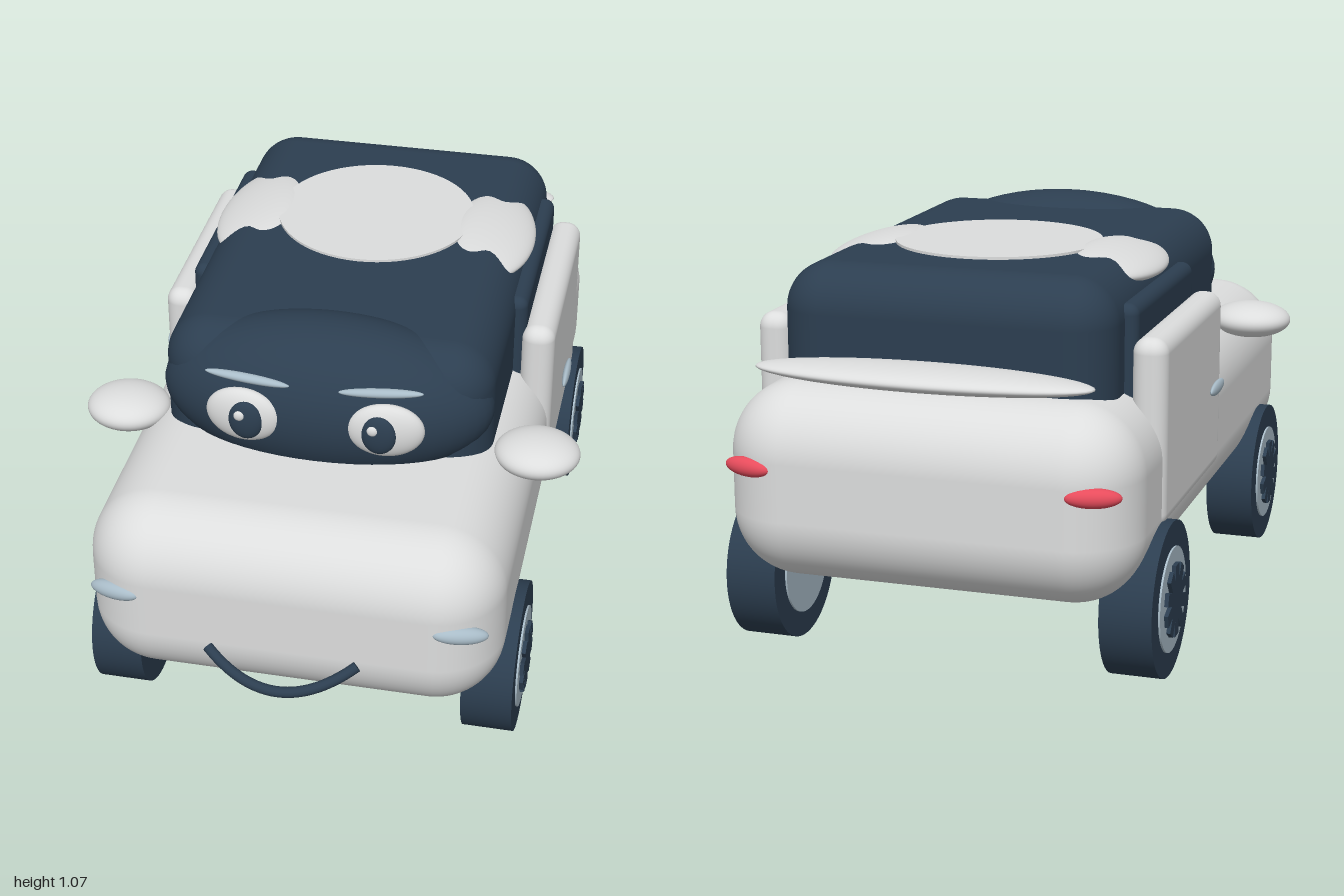
import * as THREE from 'three';
import { RoundedBoxGeometry } from 'three/addons/geometries/RoundedBoxGeometry.js';

export function createModel() {
  const car = new THREE.Group();
  car.name = 'cartoonCar';

  const material = (name, color) => {
    const m = new THREE.MeshStandardMaterial({ color });
    m.name = name;
    return m;
  };
  const paint = material('pale grey paint', 0xdcdddd);
  const navy = material('dark navy', 0x2c3e50);
  const chrome = material('blue grey chrome', 0xa9bcc8);
  const red = material('tail light red', 0xe74c5c);

  const add = (name, geometry, mat, pos = [0, 0, 0], rot = [0, 0, 0], parent = car) => {
    const mesh = new THREE.Mesh(geometry, mat);
    mesh.name = name;
    mesh.position.set(...pos);
    mesh.rotation.set(...rot);
    parent.add(mesh);
    return mesh;
  };
  // Rounded box given by its lower and upper corners
  const roundedBox = (name, mat, lo, hi, radius) => add(
    name,
    new RoundedBoxGeometry(hi[0] - lo[0], hi[1] - lo[1], hi[2] - lo[2], 8, radius),
    mat,
    lo.map((v, i) => (v + hi[i]) / 2),
  );
  const ellipsoid = (name, mat, pos, radii, rot) => add(
    name, new THREE.SphereGeometry(1, 48, 32).scale(...radii), mat, pos, rot);

  // Main shell, cabin and bulging windscreen
  roundedBox('body', paint, [-0.54, 0.235, -0.973], [0.54, 0.745, 0.903], 0.18);
  roundedBox('cabin', navy, [-0.437, 0.5, -0.797], [0.437, 1.03, 0.44], 0.12);
  ellipsoid('windscreen', navy, [0, 0.85, 0.35], [0.44, 0.215, 0.2]);

  // Roof disc and rear spoiler
  add('roofDisc', new THREE.CylinderGeometry(0.275, 0.275, 0.04, 64), paint, [0, 1.017, -0.295]);
  ellipsoid('spoiler', paint, [0, 0.8, -0.9], [0.437, 0.03, 0.103]);

  for (const s of [-1, 1]) {
    // Doors, side windows and handles
    const lowX = (a, b) => (s > 0 ? a : -b);
    const highX = (a, b) => (s > 0 ? b : -a);
    roundedBox('door', paint, [lowX(0.457, 0.548), 0.38, -0.66],
      [highX(0.457, 0.548), 0.873, -0.008], 0.04);
    roundedBox('sideWindow', navy, [lowX(0.408, 0.468), 0.5, -0.635],
      [highX(0.408, 0.468), 0.952, -0.03], 0.028);
    ellipsoid('doorHandle', chrome, [s * 0.573, 0.643, -0.18], [0.01, 0.018, 0.072]);

    // Roof flare, side mirror and lamps
    ellipsoid('roofFlare', paint, [s * 0.337, 1.0, -0.295], [0.115, 0.035, 0.235], [0, 0, -s * 0.2]);
    ellipsoid('sideMirror', paint, [s * 0.555, 0.72, 0.335], [0.113, 0.05, 0.104]);
    ellipsoid('headlight', chrome, [s * 0.445, 0.525, 0.876], [0.072, 0.024, 0.024], [0, s * 0.3, -s * 0.1]);
    ellipsoid('tailLight', red, [s * 0.447, 0.548, -0.948], [0.07, 0.025, 0.024], [0, -s * 0.3, 0]);

    // Face: eye, pupil, glint and brow
    ellipsoid('eye', paint, [s * 0.186, 0.868, 0.524], [0.1, 0.077, 0.034], [0, s * 0.1, 0]);
    ellipsoid('pupil', navy, [s * 0.173, 0.868, 0.552], [0.045, 0.055, 0.018]);
    ellipsoid('eyeGlint', paint, [s * 0.173 - 0.014, 0.888, 0.566], [0.014, 0.014, 0.008]);
    ellipsoid('brow', chrome, [s * 0.173, 0.979, 0.525], [0.11, 0.012, 0.014], [0, 0, s * 0.1]);
  }

  // Smiling mouth
  const smile = new THREE.QuadraticBezierCurve3(
    new THREE.Vector3(-0.193, 0.418, 0.922),
    new THREE.Vector3(0, 0.29, 1.045),
    new THREE.Vector3(0.193, 0.418, 0.922),
  );
  add('mouth', new THREE.TubeGeometry(smile, 32, 0.014, 12), navy);
  for (const t of [0, 1]) {
    const end = smile.getPoint(t);
    add('mouthEnd', new THREE.CircleGeometry(0.014, 12), navy, end.toArray())
      .lookAt(end.clone().add(smile.getTangent(t).multiplyScalar(t ? 1 : -1)));
  }

  // Wheels: tyre, through hub and ten spokes on the outer face
  for (const s of [-1, 1]) {
    for (const z of [0.545, -0.64]) {
      const wheel = new THREE.Group();
      wheel.name = z > 0 ? 'frontWheel' : 'rearWheel';
      wheel.position.set(s * 0.5, 0.202, z);
      wheel.rotation.z = -s * Math.PI / 2;
      add('tyre', new THREE.CylinderGeometry(0.202, 0.202, 0.135, 64), navy, [0, 0, 0], [0, 0, 0], wheel);
      add('hub', new THREE.CylinderGeometry(0.136, 0.136, 0.145, 48), chrome, [0, 0, 0], [0, 0, 0], wheel);
      for (let i = 0; i < 5; i++) {
        add('spoke', new THREE.BoxGeometry(0.19, 0.02, 0.035), navy,
          [0, 0.073, 0], [0, i * Math.PI / 5, 0], wheel);
      }
      car.add(wheel);
    }
  }

  return car;
}
